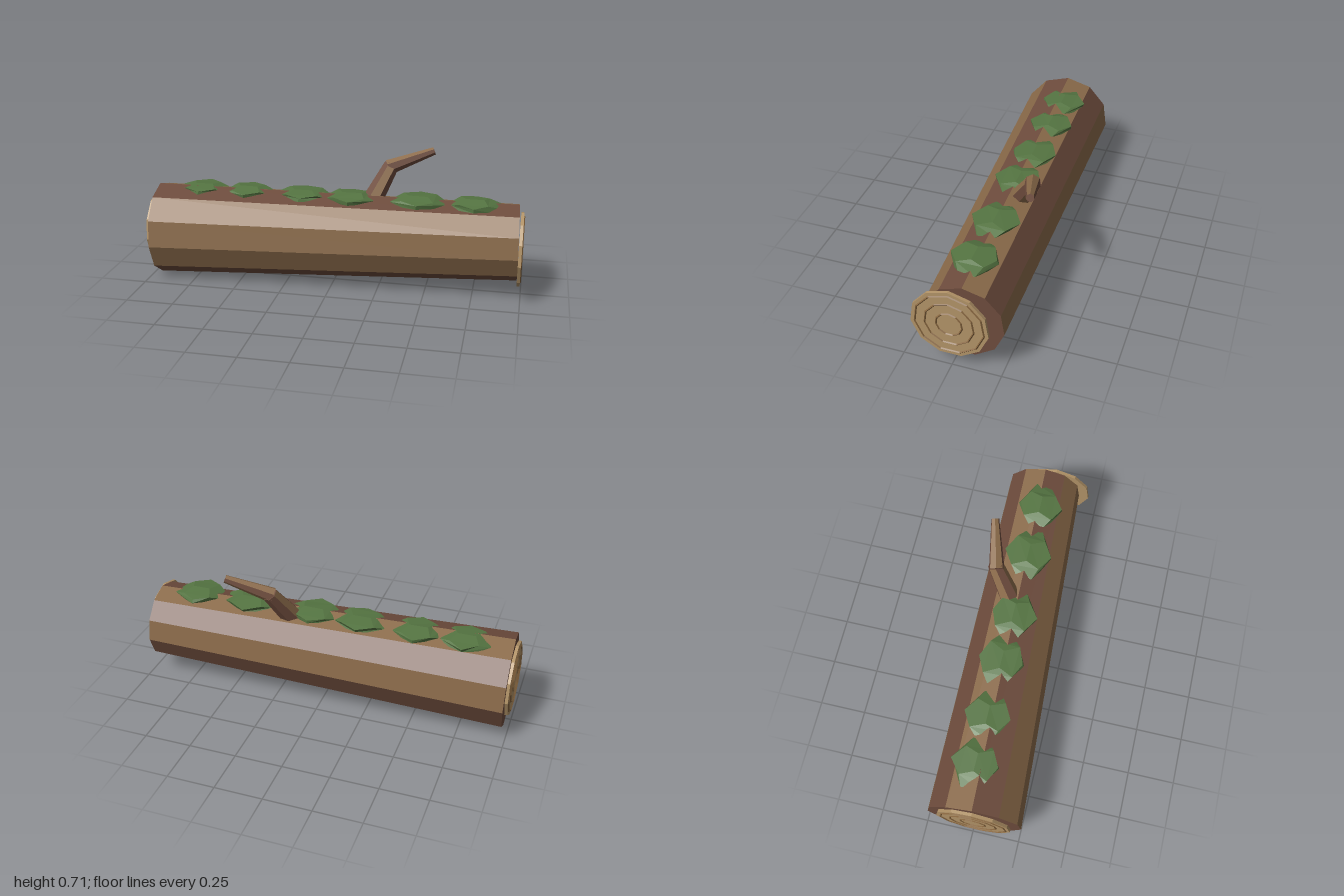
import * as THREE from 'three';

const mat = (color) => new THREE.MeshStandardMaterial({ color, flatShading: true });

// Tapered prism from a to b; the facets listed in darkFacets take the second bark tone
function limb(name, a, b, ra, rb, sides, darkFacets, materials) {
  const start = new THREE.Vector3(...a), end = new THREE.Vector3(...b);
  const dir = end.clone().sub(start);
  const geo = new THREE.CylinderGeometry(rb, ra, dir.length(), sides, 1, false, -Math.PI / 2);
  geo.rotateZ(-Math.PI / 2); // axis along +x, first corner on top
  geo.clearGroups();
  for (let i = 0; i < sides; i++) geo.addGroup(i * 6, 6, darkFacets.includes(i) ? 1 : 0);
  geo.addGroup(sides * 6, sides * 6, 1); // both end caps
  const mesh = new THREE.Mesh(geo, materials);
  mesh.name = name;
  mesh.position.copy(start).add(end).multiplyScalar(0.5);
  mesh.quaternion.setFromUnitVectors(new THREE.Vector3(1, 0, 0), dir.normalize());
  return mesh;
}

// Repeatable value in 0..1 for a vertex position
function hash(x, y, z, seed) {
  const s = Math.sin(Math.round(x * 50) * 12.9 + Math.round(y * 50) * 78.2 + Math.round(z * 50) * 37.7 + seed * 9.1) * 4375.5;
  return s - Math.floor(s);
}

// Flattened, irregular moss clump
function mossClump(seed, x, y, z, rx, ry, rz, material) {
  const geo = new THREE.DodecahedronGeometry(1.07);
  const p = geo.attributes.position;
  for (let i = 0; i < p.count; i++) {
    const v = new THREE.Vector3().fromBufferAttribute(p, i);
    const k = 0.9 + 0.16 * hash(v.x, v.y, v.z, seed);
    p.setXYZ(i, v.x * k * rx, v.y * k * ry, v.z * k * rz);
  }
  geo.computeVertexNormals();
  const mesh = new THREE.Mesh(geo, material);
  mesh.position.set(x, y, z);
  mesh.name = 'mossClump';
  return mesh;
}

export function createModel() {
  const group = new THREE.Group();
  group.name = 'mossyLog';
  const bark = [mat(0x8b6b4a), mat(0x6e4c3d)];
  const wood = mat(0xb39468), ringWood = mat(0x86653f), moss = mat(0x557542);

  // Trunk, slightly tilted and tapering to the left end
  group.add(limb('trunk', [-0.973, 0.24, 0.008], [0.972, 0.271, -0.053], 0.25, 0.204, 11, [0, 4, 7, 9], bark));

  // Cut faces with growth rings at both ends
  for (const side of [-1, 1]) {
    const cut = new THREE.Group();
    cut.name = side > 0 ? 'leftCutEnd' : 'rightCutEnd';
    cut.position.set(0, 0.255, 0.008);

    const diskGeo = new THREE.CylinderGeometry(0.197, 0.197, 0.016, 11, 1, false, -Math.PI / 2);
    diskGeo.rotateZ(-Math.PI / 2);
    const disk = new THREE.Mesh(diskGeo, wood);
    disk.name = 'cutFace';
    disk.position.x = side * 0.987;
    cut.add(disk);

    for (const r of [0.066, 0.124, 0.175]) {
      const ringGeo = new THREE.TorusGeometry(r, 0.005, 4, 11);
      ringGeo.rotateZ(Math.PI / 2); // corner on top
      ringGeo.rotateY(Math.PI / 2);
      const ring = new THREE.Mesh(ringGeo, ringWood);
      ring.name = 'growthRing';
      ring.position.x = side * 0.995;
      cut.add(ring);
    }
    group.add(cut);
  }

  // Broken branch: stub and bent twig
  const branch = new THREE.Group();
  branch.name = 'branch';
  branch.add(limb('branchStub', [0.19, 0.44, -0.075], [0.277, 0.615, -0.172], 0.056, 0.042, 7, [0, 2, 4, 5], bark));
  branch.add(limb('branchTwig', [0.262, 0.604, -0.162], [0.5, 0.692, -0.225], 0.042, 0.021, 7, [1, 2, 5], bark));
  group.add(branch);

  // Moss along the top: x, y, half width, half height
  const clumps = [
    [-0.735, 0.469, 0.131, 0.024], [-0.482, 0.468, 0.128, 0.024], [-0.179, 0.467, 0.136, 0.024],
    [0.086, 0.467, 0.134, 0.024], [0.444, 0.469, 0.139, 0.026], [0.74, 0.469, 0.126, 0.026],
  ];
  clumps.forEach(([x, y, rx, ry], i) => group.add(mossClump(i + 1, x, y, -0.031, rx, ry, 0.122, moss)));

  return group;
}
